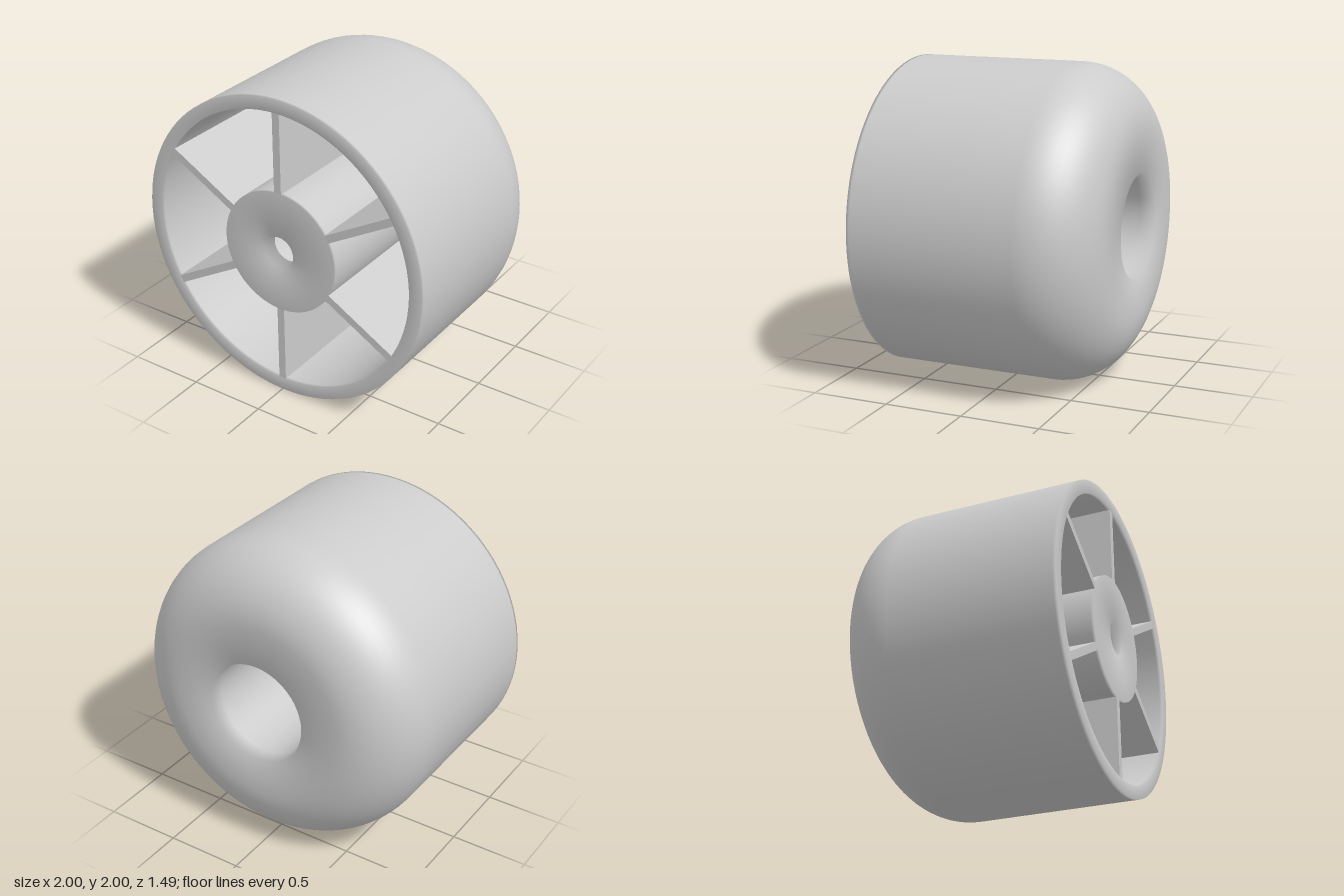
import * as THREE from 'three';

const FRONT = 0.745, BACK = -0.745, WALL = 0.085, ROUND = 0.42;
const HUB = 0.4, BORE = 0.33, HOLE = 0.105;

// Quarter-round points (radius, z) about a corner centre, between two angles in degrees
function arc(r, fromDeg, toDeg, steps = 14) {
  const pts = [];
  for (let i = 0; i <= steps; i++) {
    const a = THREE.MathUtils.degToRad(fromDeg + (toDeg - fromDeg) * i / steps);
    pts.push([1 - ROUND + r * Math.cos(a), BACK + ROUND + r * Math.sin(a)]);
  }
  return pts;
}

export function createModel() {
  const group = new THREE.Group();
  const material = new THREE.MeshStandardMaterial({ color: 0xcccccc });
  const inner = 1 - WALL, floor = BACK + WALL;

  // Body: one closed section of outer shell, cavity, hub and rear bore
  const profile = [
    [1, 0], [1, FRONT - 0.02], [1, FRONT],
    [inner, FRONT], [inner, FRONT - 0.02],
    ...arc(ROUND - WALL, 0, -90),
    [HUB, floor], [HUB, floor + 0.03],
    [HUB, FRONT - 0.02], [HUB, FRONT],
    [HOLE, FRONT], [HOLE, FRONT - 0.1],
    [BORE, FRONT - 0.1], [BORE, FRONT - 0.13],
    [BORE, BACK + 0.1], [BORE, BACK],
    ...arc(ROUND, -90, 0),
    [1, 0],
  ].map(([r, z]) => new THREE.Vector2(r, z));
  const body = new THREE.Mesh(new THREE.LatheGeometry(profile, 96).rotateX(Math.PI / 2), material);
  body.name = 'body';
  group.add(body);

  // Ribs: six radial webs following the rounded cavity floor
  const width = 0.05, top = FRONT - 0.002, embed = 0.03;
  const web = new THREE.Shape([
    [HUB - embed, top], [HUB - embed, floor - embed],
    ...arc(ROUND - WALL + embed, -90, 0),
    [inner + embed, top],
  ].map(([r, z]) => new THREE.Vector2(r, z)));
  const ribGeometry = new THREE.ExtrudeGeometry(web, { depth: width, bevelEnabled: false })
    .translate(0, 0, -width / 2)
    .rotateX(Math.PI / 2);
  const ribs = new THREE.Group();
  ribs.name = 'ribs';
  for (let i = 0; i < 6; i++) {
    const rib = new THREE.Mesh(ribGeometry, material);
    rib.name = 'rib' + (i + 1);
    rib.rotation.z = Math.PI / 6 + i * Math.PI / 3;
    ribs.add(rib);
  }
  group.add(ribs);

  group.position.y = 1;
  return group;
}
